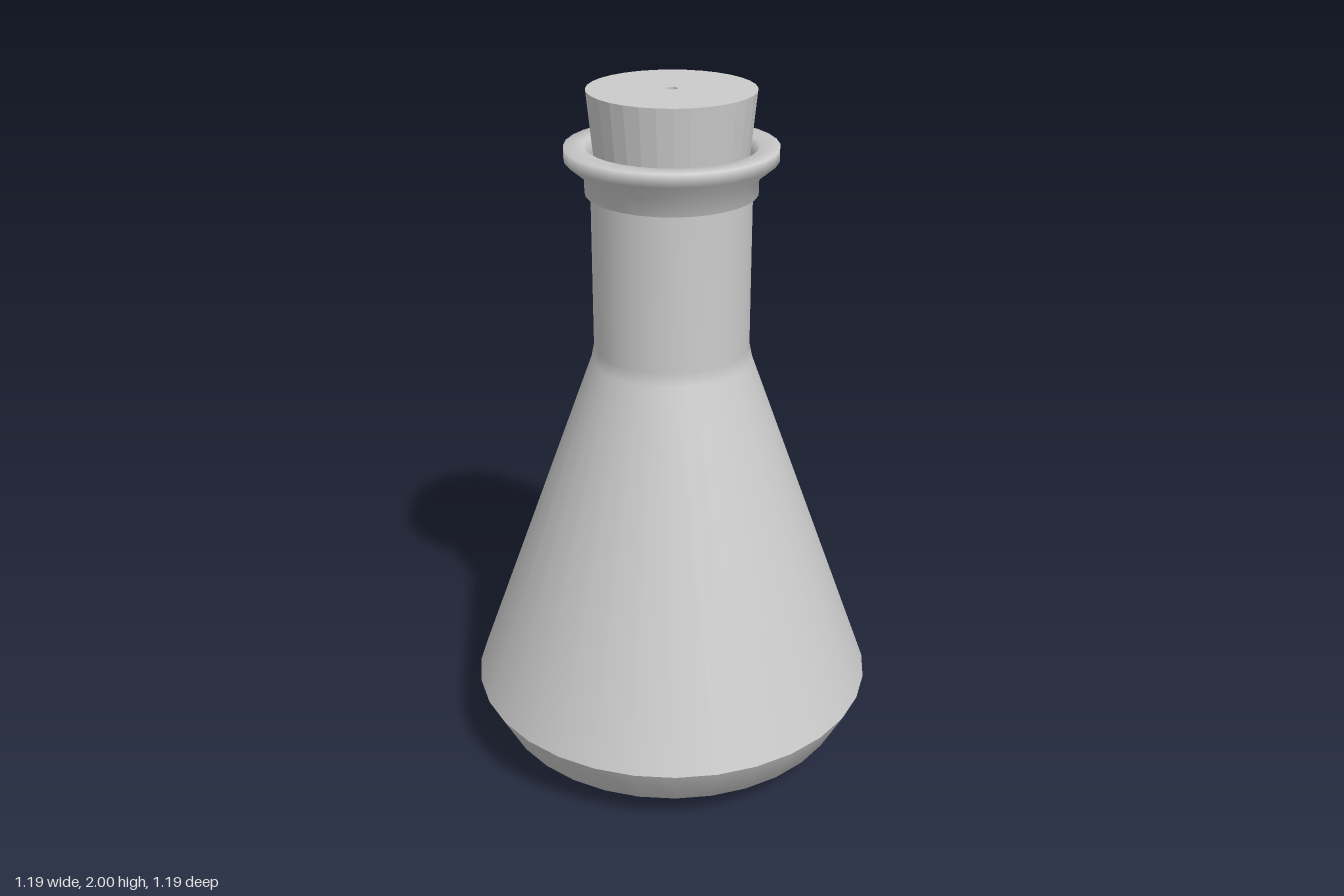
import * as THREE from 'three';

const SIDES = 32;

// Surface of revolution through [radius, height] points; profiles run upward on the outside
function lathe(name, profile, options = {}) {
  const points = profile.map(([r, y]) => new THREE.Vector2(r, y));
  const material = new THREE.MeshStandardMaterial({ color: 0xcccccc, ...options });
  const mesh = new THREE.Mesh(new THREE.LatheGeometry(points, SIDES), material);
  mesh.name = name;
  return mesh;
}

export function createModel() {
  const flask = new THREE.Group();
  flask.name = 'stopperedFlask';

  // Flat underside and rounded lower body, split so their shared edges stay sharp
  flask.add(lathe('baseDisc', [[0, 0], [0.405, 0]]));
  flask.add(lathe('lowerBody', [[0.405, 0], [0.53, 0.095], [0.595, 0.22]]));

  // Conical body running into the straight neck
  flask.add(lathe('coneAndNeck', [[0.595, 0.22], [0.228, 1.24], [0.22, 1.28], [0.22, 1.73]],
    { side: THREE.DoubleSide }));

  // Flared lip: collar, flange, rounded top and inner wall
  flask.add(lathe('lip', [
    [0.218, 1.722], [0.236, 1.722], [0.236, 1.77], [0.29, 1.815],
    [0.29, 1.85], [0.235, 1.85], [0.22, 1.82], [0.218, 1.722],
  ], { side: THREE.DoubleSide }));

  // Tapered stopper with a tiny dimple in the middle of its top
  flask.add(lathe('stopper', [
    [0, 1.72], [0.2, 1.72], [0.228, 2], [0.015, 2], [0.015, 1.99], [0, 1.99],
  ], { flatShading: true }));

  return flask;
}
